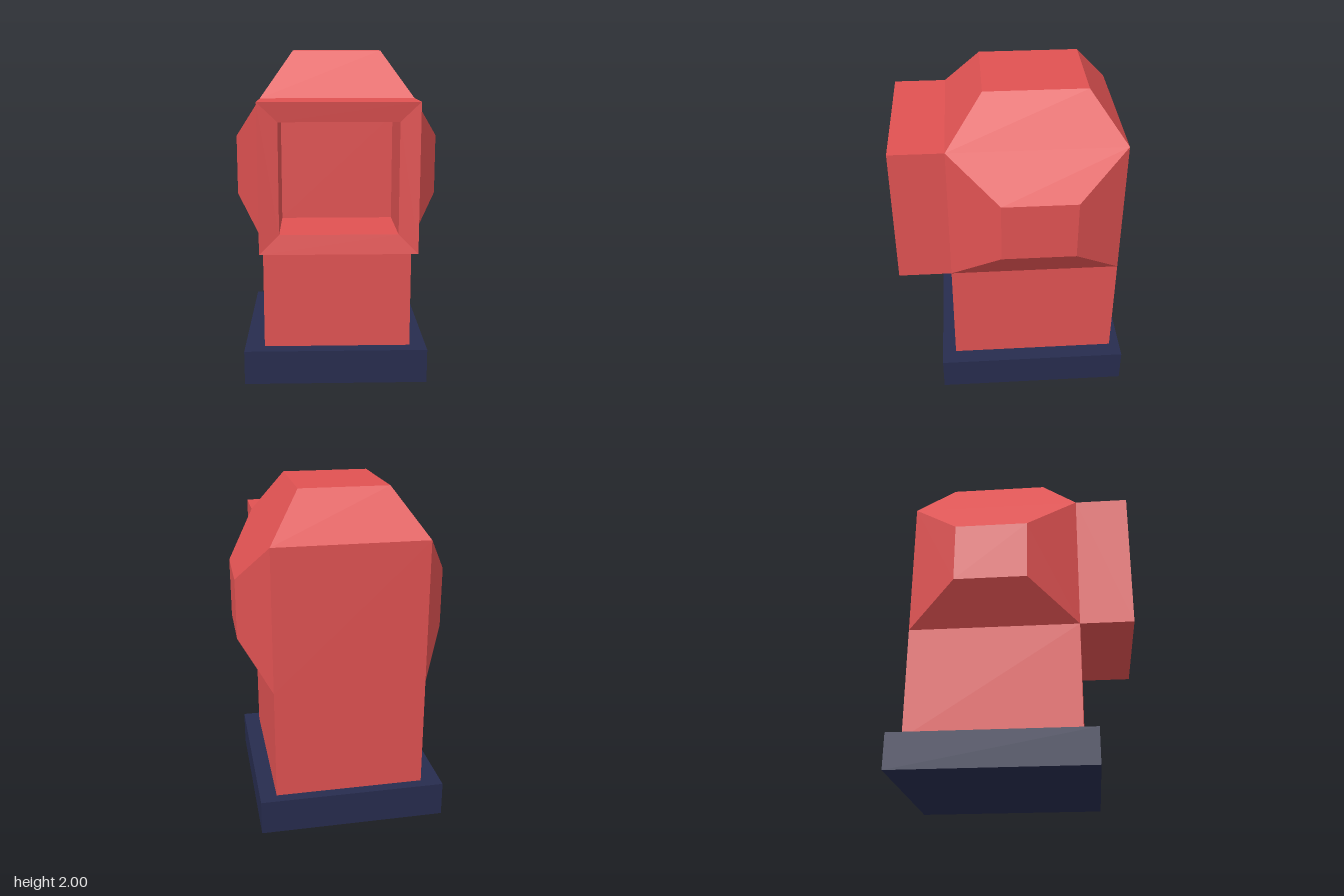
import * as THREE from 'three';

const RED = new THREE.MeshStandardMaterial({ color: 0xe05252, flatShading: true });
const NAVY = new THREE.MeshStandardMaterial({ color: 0x272c4e, flatShading: true });

// Rectangular cross-sections [x0, x1, y0, y1, z] joined along z; the last one is capped
function loft(rings, capStart = false) {
  const corners = rings.map(([x0, x1, y0, y1, z]) => [[x0, y0, z], [x1, y0, z], [x1, y1, z], [x0, y1, z]]);
  const pos = [];
  const quad = (a, b, c, d) => pos.push(...a, ...b, ...c, ...a, ...c, ...d);
  for (let i = 0; i < corners.length - 1; i++) {
    const a = corners[i], b = corners[i + 1];
    for (let j = 0; j < 4; j++) {
      const k = (j + 1) % 4;
      quad(a[j], a[k], b[k], b[j]);
    }
  }
  quad(...corners[corners.length - 1]);
  if (capStart) quad(...corners[0].slice().reverse());
  const geo = new THREE.BufferGeometry();
  geo.setAttribute('position', new THREE.Float32BufferAttribute(pos, 3));
  geo.computeVertexNormals();
  return geo;
}

function box(x0, x1, y0, y1, z0, z1) {
  return new THREE.BoxGeometry(x1 - x0, y1 - y0, z1 - z0)
    .translate((x0 + x1) / 2, (y0 + y1) / 2, (z0 + z1) / 2);
}

export function createModel() {
  const model = new THREE.Group();
  model.name = 'hoodedPost';
  const add = (name, geo, mat = RED) => {
    const mesh = new THREE.Mesh(geo, mat);
    mesh.name = name;
    model.add(mesh);
  };

  const L = -0.45, R = 0.445;            // body width
  const BACK = -0.63, FRONT = 0.385;     // body depth
  const LOW = 0.88, HIGH = 1.73;         // head height

  add('base', box(-0.57, 0.545, 0, 0.21, -0.695, 0.47), NAVY);
  add('column', box(L, R, 0.21, LOW, BACK, FRONT));

  // Head and square hood, with a slightly dished rim and a deep opening
  add('hood', loft([
    [L, R, LOW, HIGH, BACK],
    [L, R, LOW, HIGH, FRONT],
    [L, R, LOW, HIGH, 0.7],
    [-0.337, 0.333, 0.99, 1.62, 0.682],
    [-0.337, 0.333, 0.99, 1.62, 0.24],
  ], true));

  // Tapered roof
  add('roof', loft([
    [L, R, -FRONT, -BACK, HIGH],
    [-0.262, 0.26, -0.17, 0.42, 2],
  ]).rotateX(-Math.PI / 2));

  // Tapered side bulges
  add('leftBulge', loft([
    [-FRONT, -BACK, LOW, HIGH, R],
    [-0.09, 0.343, 1.117, 1.48, 0.62],
  ]).rotateY(Math.PI / 2));
  add('rightBulge', loft([
    [BACK, FRONT, LOW, HIGH, -L],
    [-0.343, 0.09, 1.117, 1.48, 0.62],
  ]).rotateY(-Math.PI / 2));

  return model;
}
